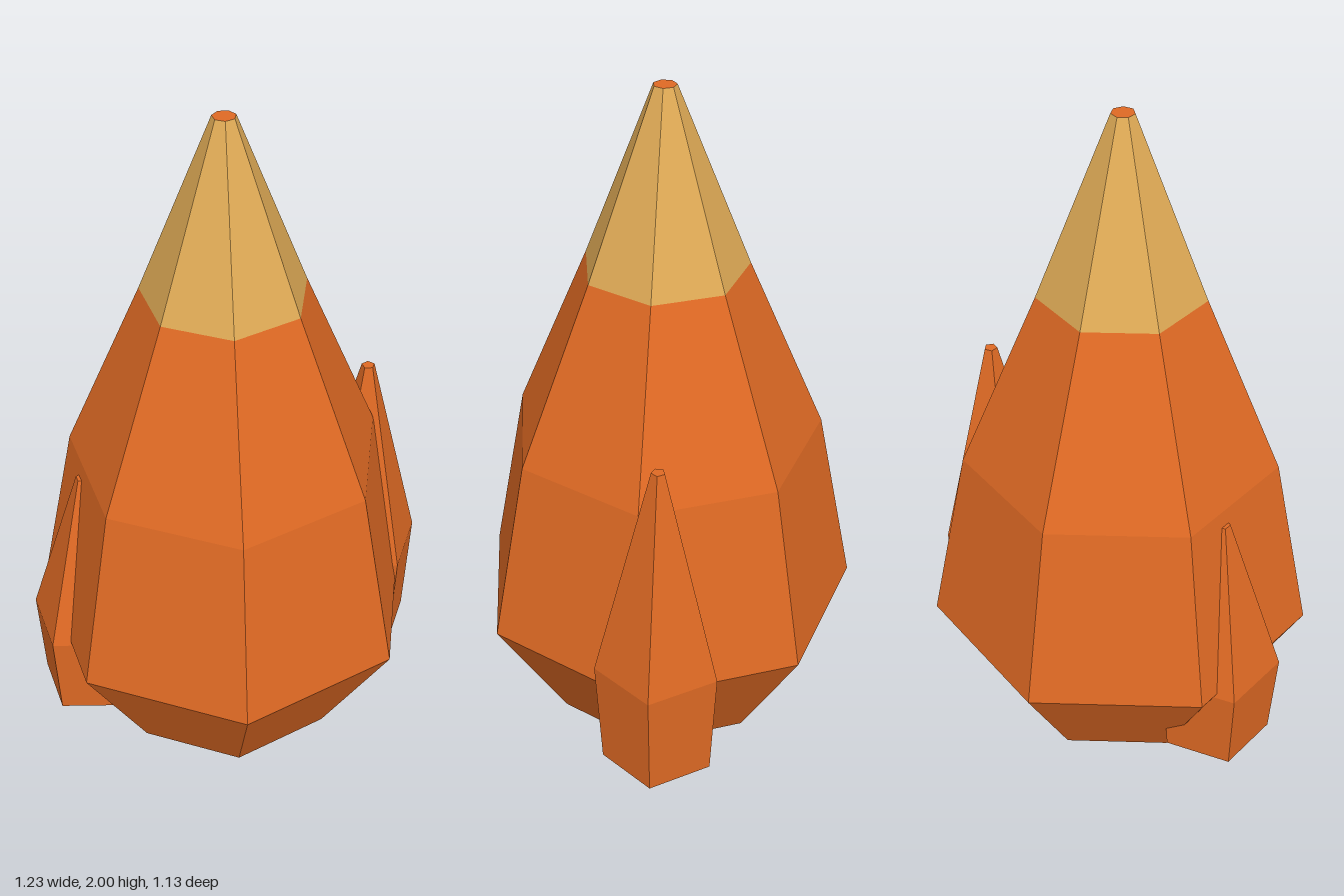
import * as THREE from 'three';

const orange = new THREE.MeshStandardMaterial({ color: 0xe06a24, flatShading: true });
orange.name = 'orange';
const sand = new THREE.MeshStandardMaterial({ color: 0xe0ab56, flatShading: true });
sand.name = 'sand';

// Faceted solid of revolution; profile is [radius, y] from bottom to top, one corner facing +x
function facetedLathe(name, profile, sides, material) {
  const points = profile.map(([r, y]) => new THREE.Vector2(r, y));
  const geometry = new THREE.LatheGeometry(points, sides, Math.PI / 2);
  const mesh = new THREE.Mesh(geometry, material);
  mesh.name = name;
  return mesh;
}

// Five-sided side spike standing beside the body
function spike(name, x, z, midY, topY) {
  const mesh = facetedLathe(name, [
    [0, 0.093], [0.168, 0.093], [0.187, midY], [0.02, topY], [0, topY],
  ], 5, orange);
  mesh.position.set(x, 0, z);
  return mesh;
}

export function createModel() {
  const model = new THREE.Group();
  model.name = 'spire';

  // Seven-sided body, tip and tip cap share one axis
  const main = new THREE.Group();
  main.name = 'mainSpire';
  main.position.x = -0.042;
  main.add(
    facetedLathe('body', [[0, 0], [0.354, 0], [0.577, 0.38], [0.466, 0.94], [0.241, 1.47]], 7, orange),
    facetedLathe('tip', [[0.241, 1.47], [0.033, 2]], 7, sand),
    facetedLathe('tipCap', [[0.033, 2], [0, 2]], 7, orange),
  );
  model.add(main);

  // Side spikes
  model.add(spike('leftSpike', 0.425, -0.056, 0.432, 1.092));
  model.add(spike('rightSpike', -0.464, -0.057, 0.366, 0.893));
  return model;
}
